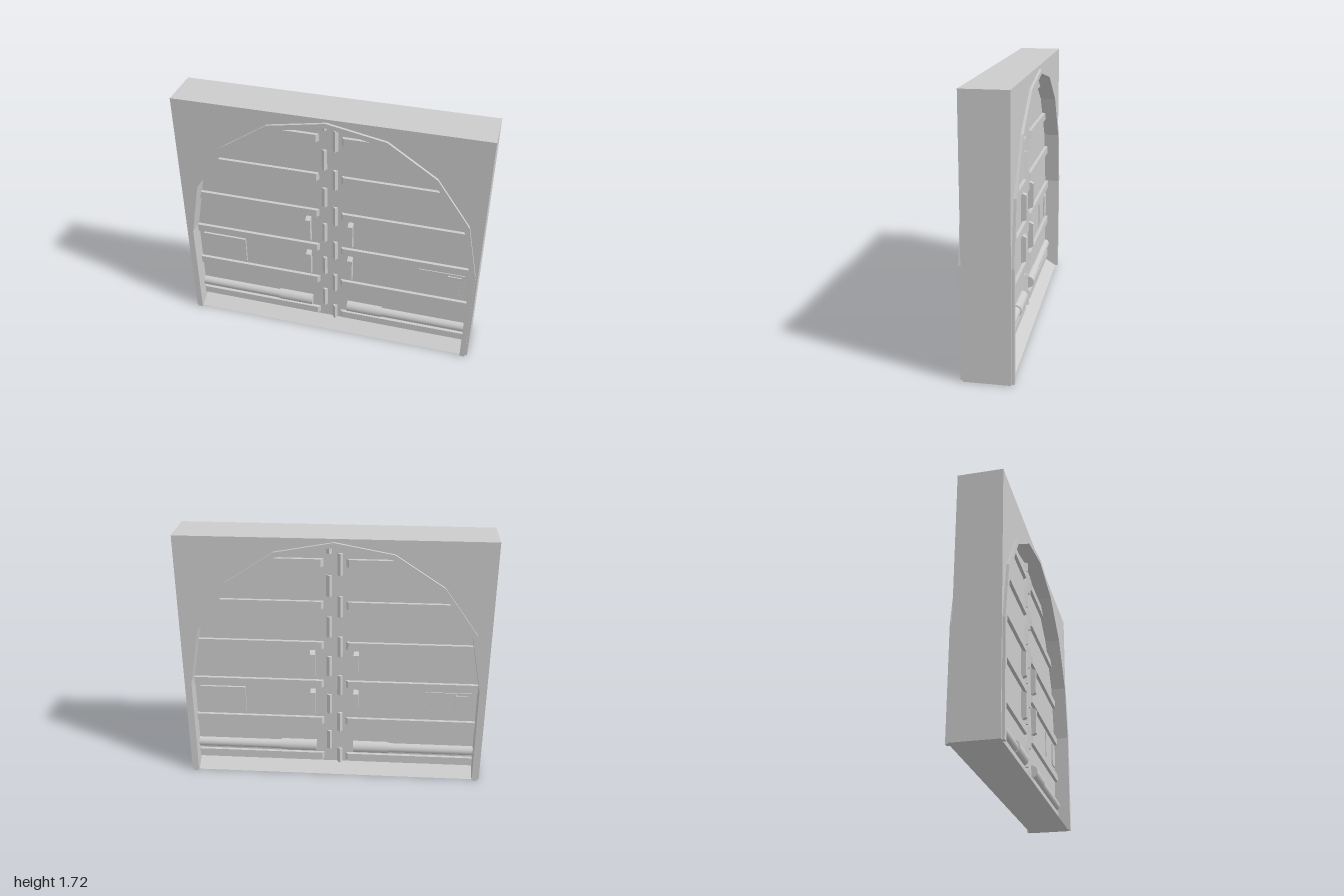
import * as THREE from 'three';

const grey = new THREE.MeshStandardMaterial({ color: 0xcccccc, flatShading: true });
const smooth = new THREE.MeshStandardMaterial({ color: 0xcccccc });

const WALL = 0.143; // half thickness of the wall
const TRIM = 0.16; // front of the arch trim
const DOOR = 0.055; // half thickness of the door slab
const TOP = 1.715;

// Right halves of the arch outlines, bottom to top
const outer = [[0.985, 0], [0.985, 0.715], [0.91, 1.1], [0.69, 1.415], [0.375, 1.625], [0, 1.695]];
const inner = [[0.95, 0], [0.95, 0.7], [0.88, 1.08], [0.67, 1.39], [0.365, 1.592], [0, 1.665]];

// Whole arch, from bottom right over the top to bottom left
const arch = (half) => [...half, ...half.slice(0, -1).reverse().map(([x, y]) => [-x, y])];

// Half width of the opening at height y
function archWidth(y) {
  const i = inner.findIndex((p) => p[1] > y);
  const [a, b] = [inner[i - 1], inner[i]];
  return a[0] + ((b[0] - a[0]) * (y - a[1])) / (b[1] - a[1]);
}

function named(name, geometry, material = grey) {
  const mesh = new THREE.Mesh(geometry, material);
  mesh.name = name;
  return mesh;
}

function extrude(points, depth) {
  const shape = new THREE.Shape(points.map(([x, y]) => new THREE.Vector2(x, y)));
  return new THREE.ExtrudeGeometry(shape, { depth, bevelEnabled: false });
}

// Profile of [x, z] points raised from y0 to y1
const prismY = (pts, y0, y1) =>
  extrude(pts.map(([x, z]) => [x, -z]), y1 - y0).rotateX(-Math.PI / 2).translate(0, y0, 0);

// Profile of [y, z] points drawn from x0 to x1
const prismX = (pts, x0, x1) =>
  extrude(pts.map(([y, z]) => [-z, y]), x1 - x0).rotateY(Math.PI / 2).translate(x0, 0, 0);

// Thin plate on the door face
function plate(name, x0, x1, y0, y1, z) {
  const g = new THREE.BoxGeometry(x1 - x0, y1 - y0, z);
  return named(name, g.translate((x0 + x1) / 2, (y0 + y1) / 2, DOOR + z / 2));
}

function rod(name, x0, x1, y, r) {
  const g = new THREE.CylinderGeometry(r, r, x1 - x0, 24).rotateZ(Math.PI / 2);
  return named(name, g.translate((x0 + x1) / 2, y, DOOR), smooth);
}

// Everything mounted on one face of the gate
function createFace() {
  const face = new THREE.Group();

  // Raised trim around the opening
  const trim = extrude([...arch(outer), ...arch(inner).reverse()], TRIM - WALL);
  face.add(named('archTrim', trim.translate(0, 0, WALL)));

  // Sloping sill at the foot of the door
  face.add(named('sill', prismX([[0, DOOR], [0, WALL], [0.055, DOOR]], -0.95, 0.95)));

  for (const s of [-1, 1]) {
    // Horizontal ribs with a bevelled inner end
    for (let i = 0; i < 6; i++) {
      const y = 0.075 + i * 0.286;
      const end = archWidth(y);
      const pts = [[0.073, DOOR], [0.088, DOOR + 0.022], [end, DOOR + 0.022], [end, DOOR]];
      face.add(named('rib', prismY(pts.map(([x, z]) => [s * x, z]), y, y + 0.053)));
    }

    // Upright handles with sloping ends
    for (const y of [0.432, 0.72]) {
      const front = DOOR + 0.035;
      const pts = [[y, DOOR], [y + 0.015, front], [y + 0.18, front], [y + 0.197, DOOR]];
      const x = s < 0 ? -0.147 : 0.141;
      face.add(named('handle', prismX(pts, x - 0.017, x + 0.017)));
    }

    // Piston: thin rod running into a thicker sleeve
    const span = (a, b) => (s < 0 ? [-b, -a] : [a, b]);
    face.add(rod('pistonRod', ...span(0.37, 0.95), 0.18, 0.034));
    face.add(rod('pistonSleeve', ...span(0.126, 0.372), 0.182, 0.042));
  }

  // Interlocking teeth along the centre seam
  for (let i = 0; i < 6; i++) {
    const y = 0.16 + i * 0.286;
    const tooth = (x, y0, y1) => named('seamTooth',
      prismY([[x - 0.018, DOOR], [x + 0.004, DOOR + 0.022], [x + 0.018, DOOR]], y0, y1));
    face.add(tooth(-0.038, y, Math.min(y + 0.145, 1.655)));
    face.add(tooth(0.033, Math.max(y - 0.141, 0.05), y + 0.004));
  }

  // Access plates
  face.add(plate('accessPlate', -0.915, -0.607, 0.435, 0.628, 0.015));
  face.add(plate('controlPlate', 0.605, 0.915, 0.435, 0.628, 0.006));
  face.add(plate('controlPad', 0.805, 0.892, 0.45, 0.612, 0.014));
  return face;
}

export function createModel() {
  const model = new THREE.Group();
  model.name = 'archedGate';

  // Wall with an arched opening, and the door slab inside it
  const wall = extrude([[1, 0], [1, TOP], [-1, TOP], [-1, 0], ...arch(inner).reverse()], WALL * 2);
  model.add(named('wall', wall.translate(0, 0, -WALL)));
  model.add(named('door', extrude(arch(inner), DOOR * 2).translate(0, 0, -DOOR)));

  // The same fittings on both faces, turned half round
  const front = createFace();
  front.name = 'frontFittings';
  const back = createFace();
  back.name = 'backFittings';
  back.rotation.y = Math.PI;
  model.add(front, back);
  return model;
}
